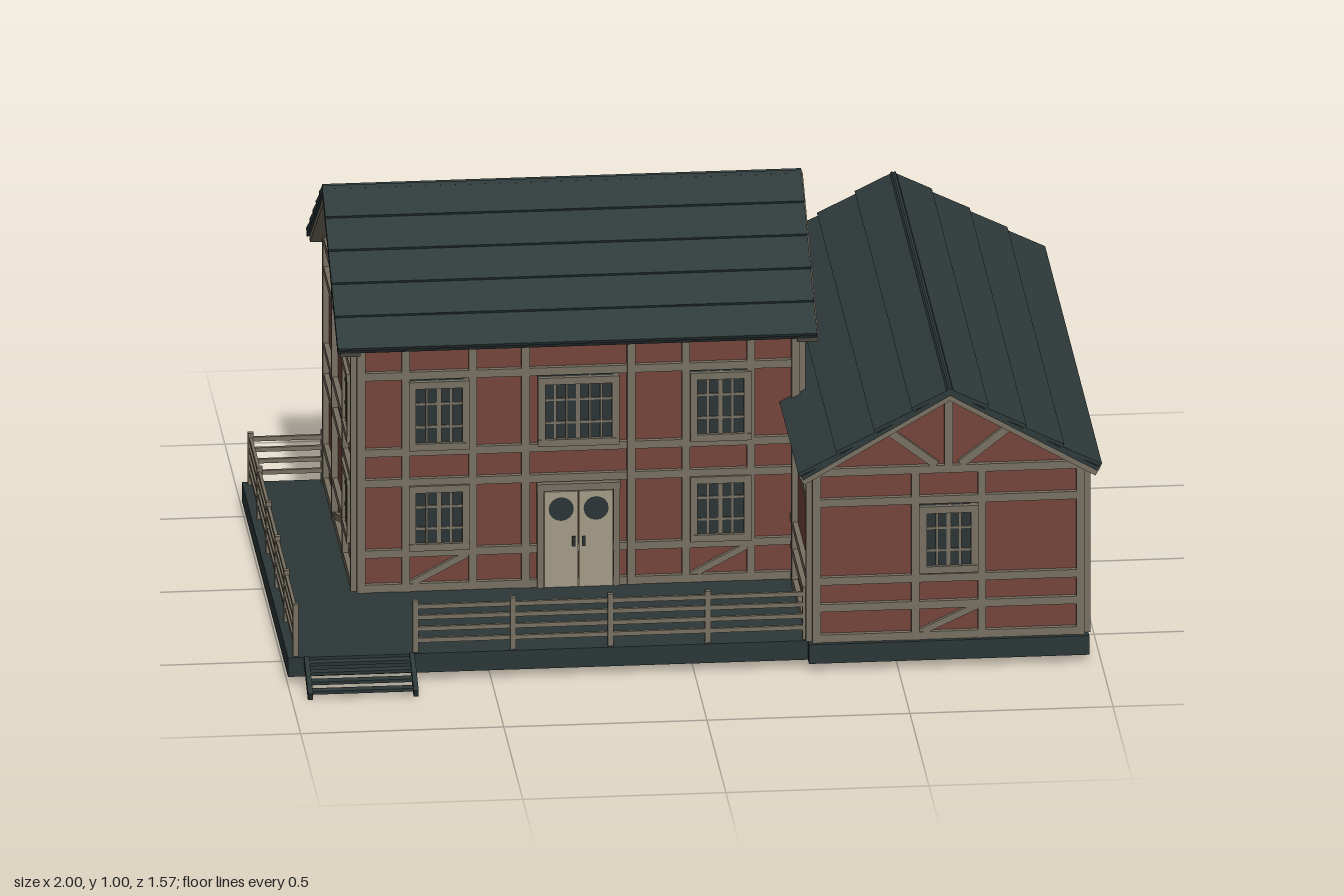
import * as THREE from 'three';

const mat = (name, color, side = THREE.FrontSide) => {
  const m = new THREE.MeshStandardMaterial({ color, side });
  m.name = name;
  return m;
};

export function createModel() {
  const red = mat('red plaster', 0x74453b, THREE.DoubleSide);
  const timber = mat('weathered timber', 0x777061);
  const slate = mat('dark roof boards', 0x2f3a3a);
  const deckMat = mat('dark deck', 0x2c3737);
  const glass = mat('dark glass', 0x2b3436, THREE.DoubleSide);
  const doorMat = mat('pale door', 0xa39b86);

  const model = new THREE.Group();
  model.name = 'timberHouse';

  const group = (name, parent = model) => {
    const g = new THREE.Group();
    g.name = name;
    parent.add(g);
    return g;
  };
  const box = (parent, name, m, w, h, d, x, y, z = 0) => {
    const mesh = new THREE.Mesh(new THREE.BoxGeometry(w, h, d), m);
    mesh.position.set(x, y, z);
    mesh.name = name;
    parent.add(mesh);
    return mesh;
  };
  // Beam between two points of a wall's plane
  const strut = (parent, name, x1, y1, x2, y2, w = 0.02, d = 0.022, z = 0) => {
    const len = Math.hypot(x2 - x1, y2 - y1);
    const b = box(parent, name, timber, len, w, d, (x1 + x2) / 2, (y1 + y2) / 2, z);
    b.rotation.z = Math.atan2(y2 - y1, x2 - x1);
  };

  // Wall in its own frame: x along the wall, +z outward; a peak makes it a gable
  const wall = (name, x, z, turn, half, eave, peak, posts, rails) => {
    const g = group(name);
    g.position.set(x, 0, z);
    g.rotation.y = turn;
    const s = new THREE.Shape();
    s.moveTo(-half, 0.06);
    s.lineTo(half, 0.06);
    s.lineTo(half, eave);
    if (peak) s.lineTo(0, peak);
    s.lineTo(-half, eave);
    const panel = new THREE.Mesh(new THREE.ShapeGeometry(s), red);
    panel.name = name + 'Panel';
    g.add(panel);
    posts.forEach(p => box(g, 'post', timber, 0.02, eave - 0.07, 0.03, p, (eave + 0.07) / 2));
    rails.forEach(y => box(g, 'crossBeam', timber, half * 2, 0.02, 0.026, 0, y));
    if (peak) {
      const rise = peak - eave;
      box(g, 'kingPost', timber, 0.02, rise, 0.026, 0, eave + rise / 2);
      for (const sd of [-1, 1]) {
        strut(g, 'gableBrace', sd * 0.03, eave, sd * half * 0.46, eave + rise * 0.5);
        strut(g, 'bargeBoard', sd * (half + 0.03), eave - 0.03 * rise / half, 0, peak, 0.026, 0.05, 0.018);
      }
    }
    return g;
  };

  const windowAt = (parent, x, y, w, h, cols) => {
    const g = group('window', parent);
    g.position.set(x, y, 0);
    box(g, 'pane', glass, w, h, 0.02, 0, 0);
    for (const s of [-1, 1]) {
      box(g, 'jamb', timber, 0.018, h, 0.038, s * (w / 2 - 0.009), 0);
      box(g, 'sill', timber, w, 0.018, 0.04, 0, s * (h / 2 - 0.009));
    }
    for (let i = 1; i < cols; i++)
      box(g, 'muntin', timber, i * 2 === cols ? 0.011 : 0.006, h, 0.027, (i / cols - 0.5) * (w - 0.03), 0);
    for (const s of [-1, 1]) box(g, 'muntin', timber, w, 0.006, 0.026, 0, s * h / 6);
  };

  // Main house long walls
  const longPosts = [-0.535, -0.425, -0.26, -0.13, 0.13, 0.265, 0.425, 0.535];
  const longRails = [0.08, 0.17, 0.355, 0.435, 0.635, 0.71];
  const front = wall('mainFront', -0.245, 0.225, 0, 0.545, 0.725, 0, longPosts, longRails);
  const back = wall('mainBack', -0.245, -0.525, Math.PI, 0.545, 0.725, 0,
    longPosts.map(p => -p), longRails);
  for (const [g, dir] of [[front, 1], [back, -1]]) {
    for (const u of [-0.343, 0.35]) {
      windowAt(g, dir * u, 0.53, 0.15, 0.18, 4);
      windowAt(g, dir * u, 0.262, 0.15, 0.17, 4);
      strut(g, 'panelBrace', u * dir - 0.075, 0.085, u * dir + 0.075, 0.165, 0.016);
    }
    windowAt(g, 0, 0.53, 0.2, 0.18, 6);
  }
  windowAt(back, 0, 0.262, 0.2, 0.17, 6);

  // Double door
  const door = group('frontDoor', front);
  for (const s of [-1, 1]) {
    box(door, 'doorLeaf', doorMat, 0.083, 0.25, 0.034, s * 0.043, 0.195);
    box(door, 'doorJamb', timber, 0.016, 0.27, 0.042, s * 0.094, 0.205);
    const pane = new THREE.Mesh(new THREE.CircleGeometry(0.031, 16), glass);
    pane.position.set(s * 0.043, 0.275, 0.0185);
    pane.name = 'doorPane';
    door.add(pane);
    box(door, 'doorHandle', glass, 0.008, 0.025, 0.008, s * 0.012, 0.19, 0.018);
  }
  box(door, 'doorLintel', timber, 0.205, 0.018, 0.044, 0, 0.333);

  // Main house gable walls
  for (const s of [-1, 1]) {
    const g = wall(s < 0 ? 'mainRightGable' : 'mainLeftGable', s < 0 ? -0.79 : 0.3, -0.15, s * Math.PI / 2,
      0.375, 0.725, 0.975, [-0.365, -0.13, 0.15, 0.365], longRails);
    if (s < 0) {
      windowAt(g, 0.25, 0.53, 0.15, 0.18, 4);
      windowAt(g, 0.25, 0.262, 0.15, 0.17, 4);
      strut(g, 'panelBrace', -0.11, 0.085, 0.14, 0.165, 0.016);
    }
  }

  // Wing walls
  const wingRails = [0.08, 0.16, 0.23, 0.435, 0.515];
  for (const s of [1, -1]) {
    const g = wall(s > 0 ? 'wingFront' : 'wingBack', 0.625, s > 0 ? 0.67 : -0.745, s > 0 ? 0 : Math.PI,
      0.335, 0.525, 0.72, [-0.325, -0.082, 0.082, 0.325], wingRails);
    windowAt(g, 0, 0.332, 0.145, 0.175, 4);
    strut(g, 'panelBrace', -0.075, 0.085, 0.075, 0.155, 0.016);
    wall(s > 0 ? 'wingOuterSide' : 'wingInnerSide', 0.625 + s * 0.335, -0.0375, s * Math.PI / 2,
      0.7075, 0.535, 0, [-0.698, -0.3225, 0.3375, 0.698].map(p => p * -s * -1), wingRails);
  }

  // Boarded gable roof: ridge along local z, each course tilted to overlap the next
  const roof = (name, x, y, z, turn, half, drop, length, courses) => {
    const g = group(name);
    g.position.set(x, y, z);
    g.rotation.y = turn;
    const slope = Math.atan2(drop, half), run = Math.hypot(half, drop), step = run / courses;
    for (const side of [0, Math.PI]) {
      const pitch = group('roofSide', g);
      pitch.rotation.y = side;
      const plane = group('roofPlane', pitch);
      plane.rotation.z = -slope;
      box(plane, 'roofSheet', slate, run, 0.01, length, run / 2, -0.016);
      for (let i = 0; i < courses; i++) {
        const b = box(plane, 'roofBoard', slate, step * 1.04, 0.009, length, (i + 0.5) * step, -0.007);
        b.rotation.z = 0.07;
      }
    }
  };
  roof('mainRoof', -0.25, 1.0, -0.15, Math.PI / 2, 0.418, 0.276, 1.18, 5);
  roof('wingRoof', 0.625, 0.745, -0.03, 0, 0.372, 0.215, 1.5, 4);

  // Wing plinth with a red underside
  box(model, 'wingPlinth', [deckMat, deckMat, deckMat, red, deckMat, deckMat], 0.69, 0.05, 1.45, 0.625, 0.045, -0.03);

  // Deck framing the main house, open below the rooms
  const rect = (S, x1, z1, x2, z2) => new S([[x1, z1], [x2, z1], [x2, z2], [x1, z2]].map(p => new THREE.Vector2(...p)));
  const deckShape = rect(THREE.Shape, -1, -0.55, 0.28, 0.665);
  deckShape.holes.push(rect(THREE.Path, -0.775, -0.51, 0.28 - 0.005, 0.21));
  const deck = new THREE.Mesh(new THREE.ExtrudeGeometry(deckShape, { depth: 0.05, bevelEnabled: false }), deckMat);
  deck.rotation.x = Math.PI / 2;
  deck.position.y = 0.07;
  deck.name = 'deck';
  model.add(deck);

  // Railings
  const railing = (name, x1, z1, x2, z2, bays) => {
    const g = group(name);
    const len = Math.hypot(x2 - x1, z2 - z1);
    g.position.set(x1, 0.07, z1);
    g.rotation.y = Math.atan2(-(z2 - z1), x2 - x1);
    for (let i = 0; i <= bays; i++) box(g, 'railPost', timber, 0.014, 0.135, 0.014, len * i / bays, 0.0675);
    for (const y of [0.03, 0.06, 0.09, 0.118]) box(g, 'rail', timber, len, 0.011, 0.008, len / 2, y);
  };
  railing('frontRailing', -0.685, 0.65, 0.275, 0.65, 4);
  railing('sideRailing', -0.98, -0.535, -0.98, 0.65, 5);
  railing('backRailing', -0.98, -0.535, -0.8, -0.535, 1);

  // Steps down from the deck
  const steps = group('steps');
  for (const x of [-0.955, -0.695]) {
    const s = box(steps, 'stringer', deckMat, 0.012, 0.022, 0.125, x, 0.037, 0.72);
    s.rotation.x = 0.48;
  }
  for (let i = 0; i < 4; i++)
    box(steps, 'tread', deckMat, 0.26, 0.008, 0.024, -0.825, 0.06 - i * 0.0145, 0.68 + i * 0.027);

  return model;
}
